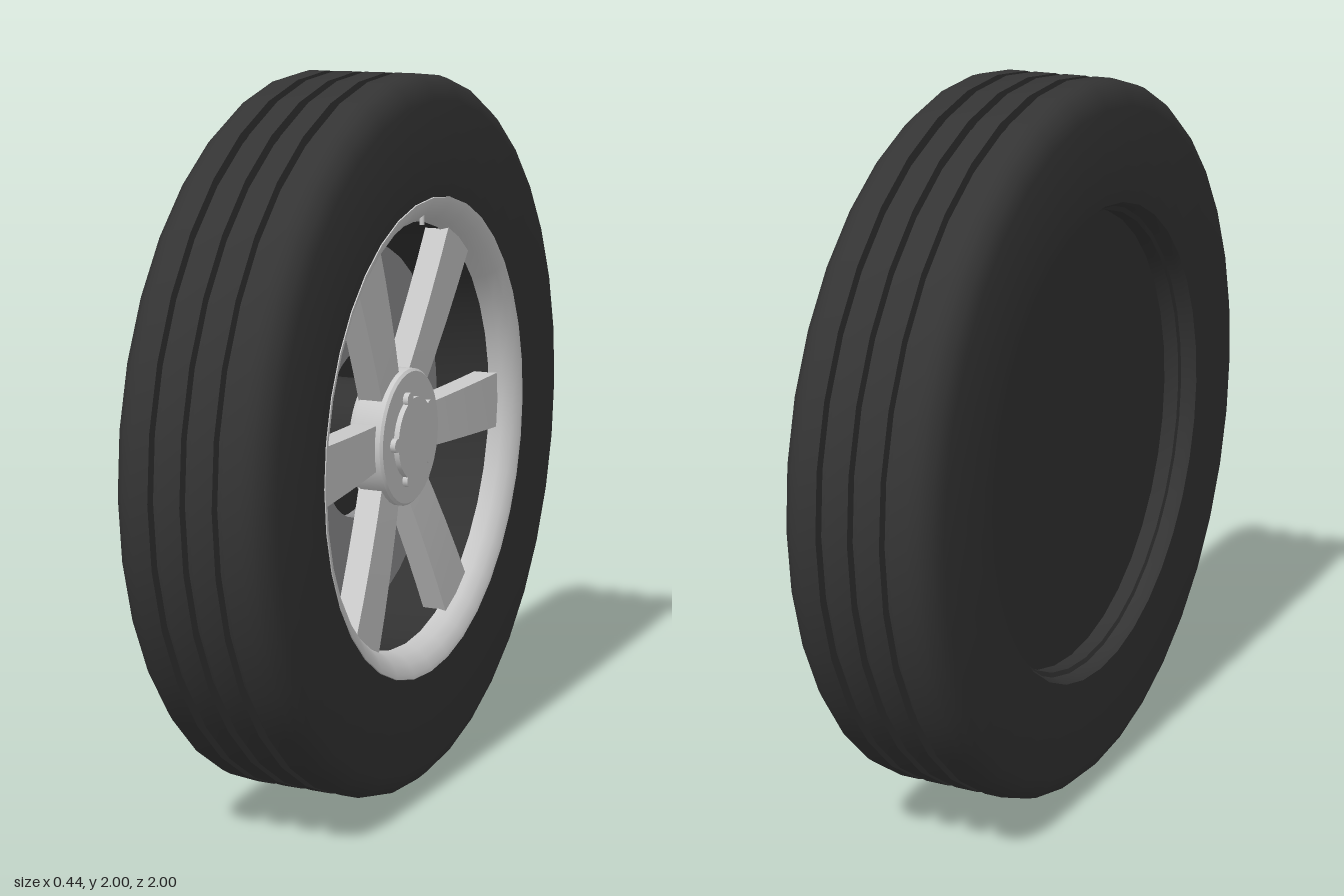
import * as THREE from 'three';
import { toCreasedNormals } from 'three/addons/utils/BufferGeometryUtils.js';

const mat = (name, color, side = THREE.FrontSide) => {
  const m = new THREE.MeshStandardMaterial({ color, side });
  m.name = name;
  return m;
};

export function createModel() {
  const rubber = mat('black rubber', 0x343434);
  const alloy = mat('light alloy', 0xcacaca);
  const steel = mat('brake steel', 0x909092);
  const dark = mat('dark barrel', 0x323232, THREE.DoubleSide);

  // The wheel is built around the y axis (outer face up), then turned so its axle lies along x.
  const wheel = new THREE.Group();
  wheel.name = 'wheel';
  const add = (name, geo, material, parent = wheel) => {
    const m = new THREE.Mesh(geo, material);
    m.name = name;
    parent.add(m);
    return m;
  };
  // Profiles are [radius, axle position], running bottom, outside, top.
  const lathe = (name, pts, material, crease = 0.7) => add(name, toCreasedNormals(
    new THREE.LatheGeometry(pts.map(p => new THREE.Vector2(...p)), 36), crease), material);

  // Tyre with rounded shoulders and three tread grooves
  const shoulder = [[0.655, 0.13], [0.66, 0.2], [0.67, 0.218], [0.93, 0.22], [0.97, 0.205], [0.993, 0.18], [1, 0.155]];
  const tread = [-0.09, 0, 0.09].flatMap(c =>
    [[1, c - 0.013], [0.972, c - 0.013], [0.972, c + 0.013], [1, c + 0.013]]);
  lathe('tyre', [
    ...shoulder.map(([r, y]) => [r, -y]), ...tread, ...shoulder.slice().reverse(),
  ], rubber);

  // Rim lip, dark barrel and the closed inner side
  lathe('rimLip', [[0.672, 0.205], [0.668, 0.22], [0.655, 0.218], [0.63, 0.203], [0.608, 0.178], [0.597, 0.14]], alloy);
  lathe('rimBarrel', [[0.655, 0.13], [0.6, 0.14], [0.6, -0.12]], dark);
  lathe('innerRimStep', [[0.645, -0.125], [0.645, -0.17], [0.662, -0.175]], dark);
  lathe('backPlate', [[0.0, -0.125], [0.66, -0.125]], dark);

  // Brake disc with an open centre and a dark axle
  lathe('brakeDisc', [[0.24, -0.04], [0.53, -0.04], [0.53, 0], [0.24, 0], [0.24, -0.04]], steel);
  lathe('axle', [[0.15, -0.125], [0.15, 0.06]], dark);

  // Six spokes, widening and rising slightly towards the rim
  const spoke = new THREE.BoxGeometry(1, 1, 1, 1, 1, 4);
  const p = spoke.attributes.position;
  for (let i = 0; i < p.count; i++) {
    const t = p.getZ(i) + 0.5;
    const front = 0.13 + 0.05 * t - 0.015 * t * t;
    p.setXYZ(i,
      p.getX(i) * (0.125 + 0.04 * t),
      p.getY(i) > 0 ? front : front - 0.07,
      0.15 + 0.46 * t);
  }
  const spokeGeo = toCreasedNormals(spoke, 0.6);
  for (let i = 0; i < 6; i++) add('spoke', spokeGeo, alloy).rotation.y = i * Math.PI / 3;

  // Hub, raised centre cap and five bolts
  lathe('hub', [[0, 0.05], [0.18, 0.05], [0.192, 0.07], [0.192, 0.148], [0.185, 0.155], [0, 0.155]], alloy);
  const cap = new THREE.Group();
  cap.name = 'centreCap';
  wheel.add(cap);
  add('capPlate', new THREE.CylinderGeometry(0.115, 0.115, 0.016, 36), alloy, cap).position.y = 0.162;
  const boltGeo = new THREE.CylinderGeometry(0.02, 0.02, 0.024, 12);
  for (let i = 0; i < 5; i++) {
    const a = i * Math.PI * 2 / 5;
    add('bolt', boltGeo, alloy, cap).position.set(Math.sin(a) * 0.119, 0.158, Math.cos(a) * 0.119);
  }

  // Air valve on the lip
  const valve = add('valve', new THREE.CylinderGeometry(0.007, 0.007, 0.035, 8), alloy);
  valve.rotation.z = Math.PI / 2;
  valve.position.set(-0.61, 0.185, 0);

  wheel.rotation.z = -Math.PI / 2;
  wheel.position.y = 1;
  const model = new THREE.Group();
  model.name = 'model';
  model.add(wheel);
  return model;
}
